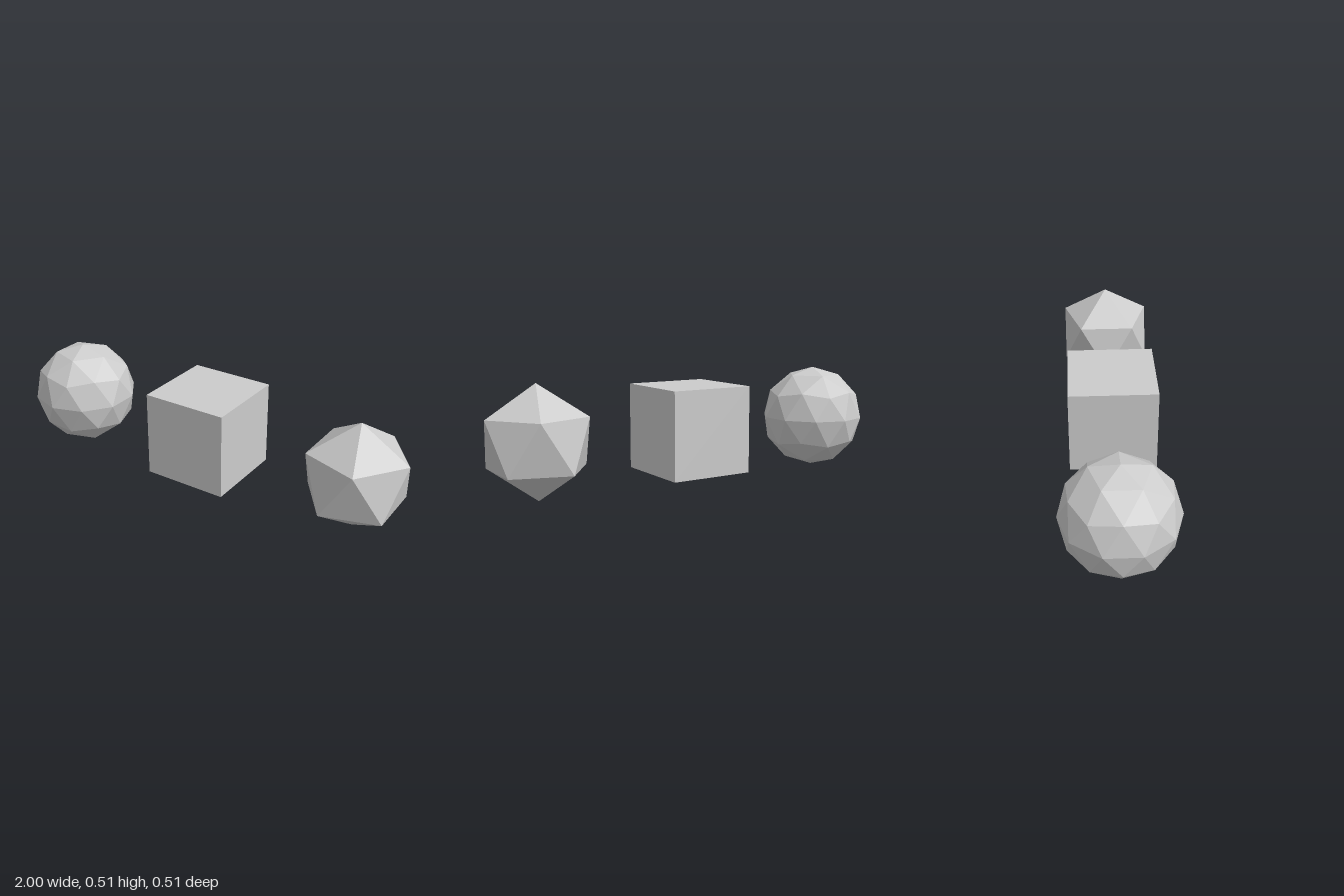
import * as THREE from 'three';

const R = 0.255;        // circumradius of the round solids
const MID_X = 0.007;    // x of the middle solid
const SPACING = 3 * R;  // distance between neighbouring solids

// Icosahedron turned so that one vertex points straight up
function uprightIcosahedron(detail) {
  const golden = (1 + Math.sqrt(5)) / 2;
  const geometry = new THREE.IcosahedronGeometry(R, detail);
  geometry.rotateZ(-Math.atan(1 / golden));
  geometry.computeVertexNormals(); // unshared corners, so normals are per face
  return geometry;
}

export function createModel() {
  const group = new THREE.Group();
  group.name = 'threeSolids';
  const material = new THREE.MeshStandardMaterial({ color: 0xcccccc, flatShading: true });

  // Row of solids along x, all centred at the same height
  const solids = [
    ['facetedSphere', uprightIcosahedron(1)],
    ['cube', new THREE.BoxGeometry(1.6 * R, 1.6 * R, 1.6 * R)],
    ['icosahedron', uprightIcosahedron(0)],
  ];
  solids.forEach(([name, geometry], i) => {
    const mesh = new THREE.Mesh(geometry, material);
    mesh.name = name;
    mesh.position.set(MID_X + (i - 1) * SPACING, R, 0);
    group.add(mesh);
  });
  return group;
}
